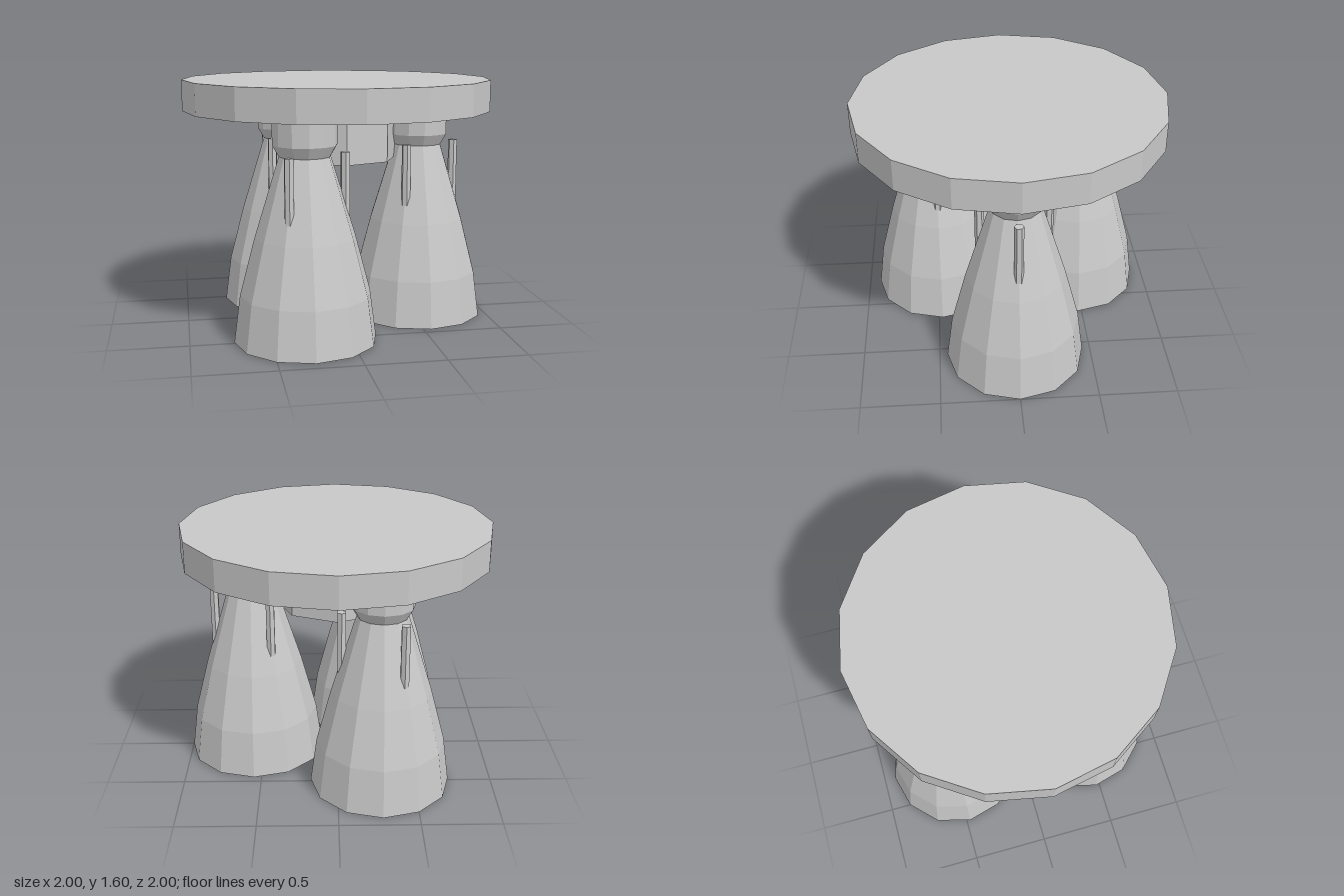
import * as THREE from 'three';

export function createModel() {
  const model = new THREE.Group();
  model.name = 'engineCluster';

  const metal = new THREE.MeshStandardMaterial({ color: 0xc8c8c8, flatShading: true, side: THREE.DoubleSide });
  metal.name = 'grey metal';

  const add = (parent, name, geometry, x, y, z) => {
    const mesh = new THREE.Mesh(geometry, metal);
    mesh.name = name;
    mesh.position.set(x, y, z);
    parent.add(mesh);
  };

  // mounting disc and the octagonal block under its centre
  add(model, 'mountPlate', new THREE.CylinderGeometry(1, 1, 0.2, 16), 0, 1.5, 0);
  add(model, 'centreBlock', new THREE.CylinderGeometry(0.4, 0.4, 0.32, 8), 0, 1.24, 0);

  // open bell, throat and chamber share one profile, bottom to top
  const profile = [
    [0.45, 0], [0.41, 0.3], [0.315, 0.66], [0.16, 1.16], [0.2, 1.23], [0.2, 1.4],
  ].map(([r, y]) => new THREE.Vector2(r, y));
  const nozzle = new THREE.LatheGeometry(profile, 12);
  const pipe = new THREE.CylinderGeometry(0.03, 0.03, 0.4, 6);

  // three engines around the axis, each with three feed pipes
  for (let i = 0; i < 3; i++) {
    const a = (i * Math.PI * 2) / 3;
    const engine = new THREE.Group();
    engine.name = 'engine' + (i + 1);
    engine.position.set(0.55 * Math.cos(a), 0, 0.55 * Math.sin(a));
    add(engine, 'nozzle', nozzle, 0, 0, 0);
    for (let j = 0; j < 3; j++) {
      const b = (j * Math.PI * 2) / 3;
      add(engine, 'feedPipe', pipe, 0.25 * Math.cos(b), 0.98, 0.25 * Math.sin(b));
    }
    model.add(engine);
  }
  return model;
}
